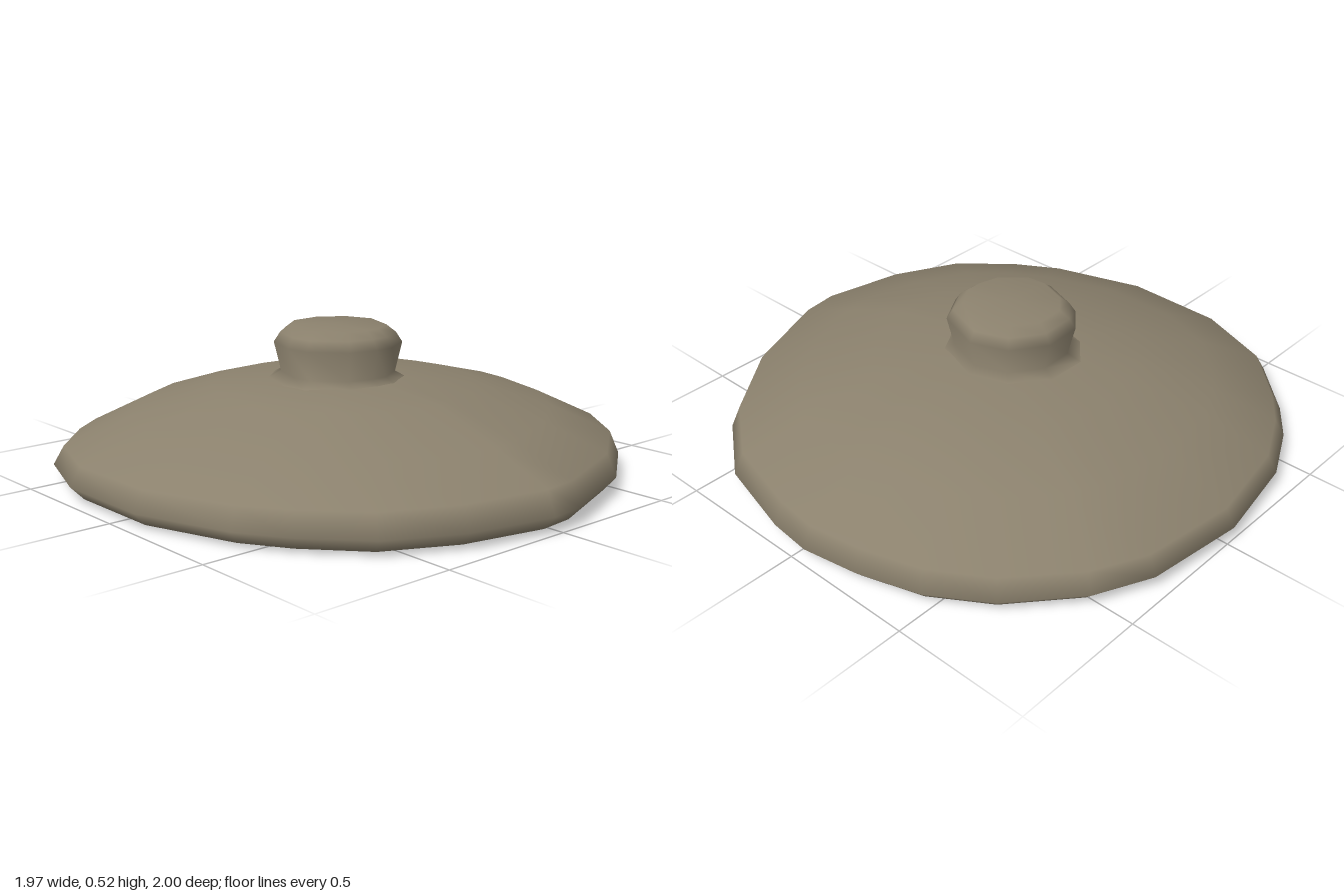
import * as THREE from 'three';
import { mergeVertices } from 'three/addons/utils/BufferGeometryUtils.js';

const clay = new THREE.MeshStandardMaterial({ color: 0x8b816d });
clay.name = 'greyBrownClay';

// Hand-formed round part: the [x, z] outline is scaled at each profile level.
// Profile levels are [scale, height, leanX, leanZ], bottom to top; the leans tilt a level.
function handTurned(name, outline, profile) {
  const points = profile.map(([s, y]) => new THREE.Vector2(s, y));
  const lathe = new THREE.LatheGeometry(points, outline.length);
  const pos = lathe.attributes.position;
  for (let i = 0; i < pos.count; i++) {
    const [x, z] = outline[Math.floor(i / profile.length) % outline.length];
    const [s, y, leanX = 0, leanZ = 0] = profile[i % profile.length];
    pos.setXYZ(i, x * s, y + leanX * x + leanZ * z, z * s);
  }
  // Weld the seam so the shading is smooth all round
  lathe.deleteAttribute('uv');
  lathe.deleteAttribute('normal');
  const geometry = mergeVertices(lathe);
  geometry.computeVertexNormals();
  const mesh = new THREE.Mesh(geometry, clay);
  mesh.name = name;
  return mesh;
}

// Outlines run from the front round through +x
const rimOutline = [
  [-0.04, 1], [0.1, 0.985], [0.45, 0.85], [0.72, 0.65], [0.89, 0.42], [0.97, 0.11],
  [0.985, -0.05], [0.95, -0.25], [0.88, -0.47], [0.75, -0.67], [0.53, -0.86], [0.33, -0.955],
  [-0.03, -1], [-0.37, -0.94], [-0.57, -0.84], [-0.7, -0.74], [-0.88, -0.55], [-0.985, -0.26],
  [-0.985, 0.12], [-0.87, 0.46], [-0.77, 0.62], [-0.6, 0.81], [-0.35, 0.935],
];
const knobOutline = [
  [0.055, 0.22], [0.165, 0.155], [0.225, -0.015], [0.175, -0.145], [0.055, -0.225], [-0.085, -0.22],
  [-0.175, -0.145], [-0.225, -0.005], [-0.215, 0.085], [-0.115, 0.195], [-0.015, 0.22],
];

export function createModel() {
  const lid = new THREE.Group();
  lid.name = 'lid';

  // Shallow dome with a rounded rim and faintly hollow underside, open beneath the knob
  lid.add(handTurned('dome', rimOutline, [
    [0, 0.038], [0.5, 0.027], [0.955, 0.008, -0.005, 0.003], [1, 0.056, -0.004, 0.004],
    [0.965, 0.128, 0, 0.012], [0.74, 0.231, 0.012, -0.008], [0.47, 0.312],
    [0.24, 0.335], [0.17, 0.34],
  ]));

  // Slightly off-centre knob: flared foot, narrow neck, chamfered head
  const knob = handTurned('knob', knobOutline, [
    [1.1, 0.33], [0.89, 0.355], [1, 0.46], [0.9, 0.495], [0.75, 0.521], [0, 0.525],
  ]);
  knob.position.set(-0.025, 0, -0.025);
  lid.add(knob);

  return lid;
}
